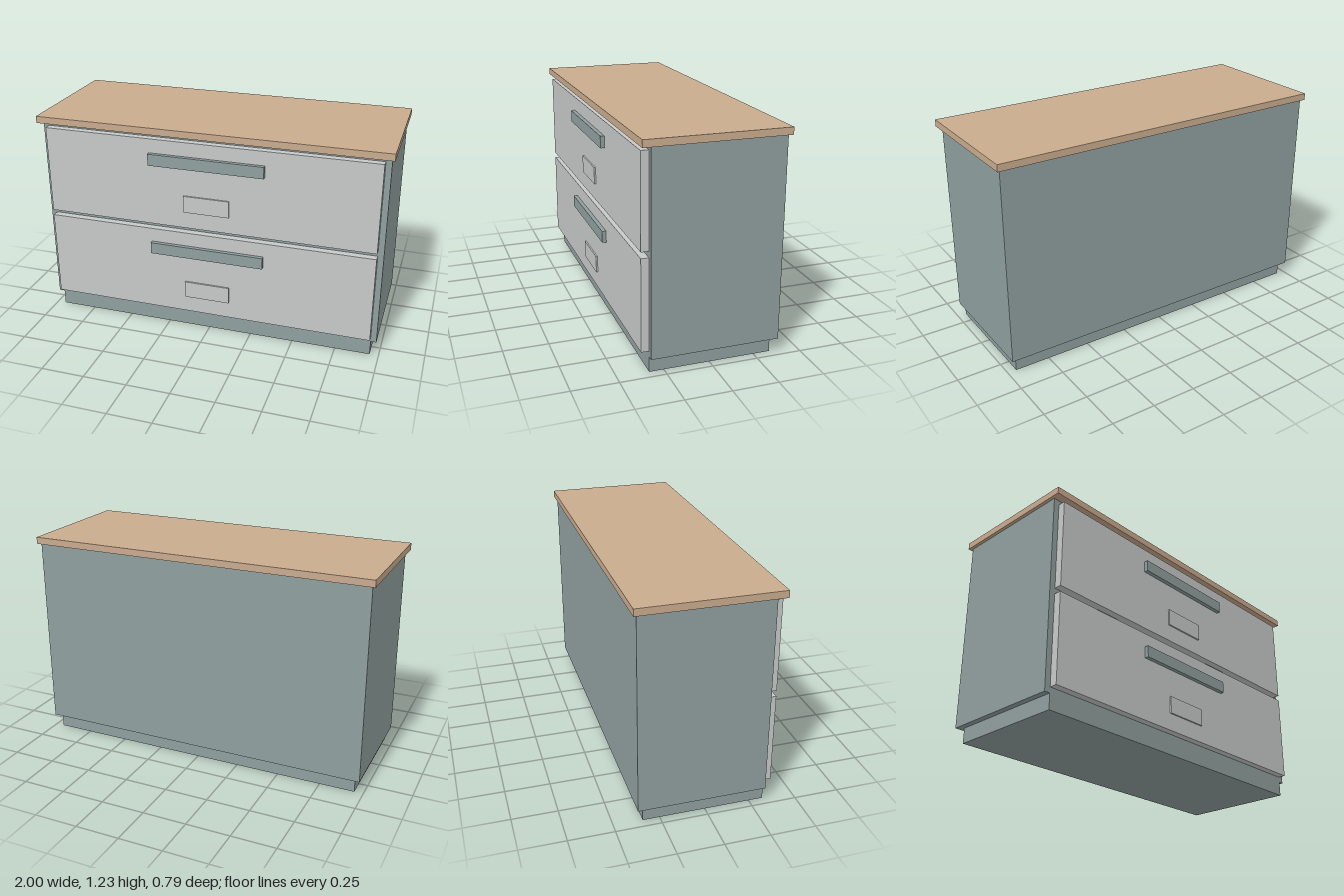
import * as THREE from 'three';

export function createModel() {
  const group = new THREE.Group();
  const paint = (name, color) => {
    const m = new THREE.MeshStandardMaterial({ color });
    m.name = name;
    return m;
  };
  const teal = paint('greyTeal', 0x8f9f9e);
  const grey = paint('lightGrey', 0xc7c9c8);
  const wood = paint('wood', 0xc9ab8e);

  // Box centred on x, given by half width and its y and z limits
  const box = (name, material, halfWidth, y0, y1, z0, z1, parent = group) => {
    const mesh = new THREE.Mesh(new THREE.BoxGeometry(halfWidth * 2, y1 - y0, z1 - z0), material);
    mesh.position.set(0, (y0 + y1) / 2, (z0 + z1) / 2);
    mesh.name = name;
    parent.add(mesh);
  };

  // Carcass
  box('plinth', teal, 0.95, 0, 0.085, -0.342, 0.329);
  box('cabinetBody', teal, 0.982, 0.085, 1.191, -0.375, 0.329);
  box('worktop', wood, 1, 1.191, 1.23, -0.393, 0.378);

  // Two drawers, each with a bar handle and a label plate
  [['lowerDrawer', 0.117], ['upperDrawer', 0.658]].forEach(([name, y]) => {
    const drawer = new THREE.Group();
    drawer.name = name;
    drawer.position.y = y;
    box('drawerFront', grey, 0.949, 0, 0.508, 0.329, 0.371, drawer);
    box('handle', teal, 0.329, 0.36, 0.427, 0.371, 0.394, drawer);
    box('labelPlate', grey, 0.131, 0.098, 0.196, 0.371, 0.38, drawer);
    group.add(drawer);
  });

  return group;
}
